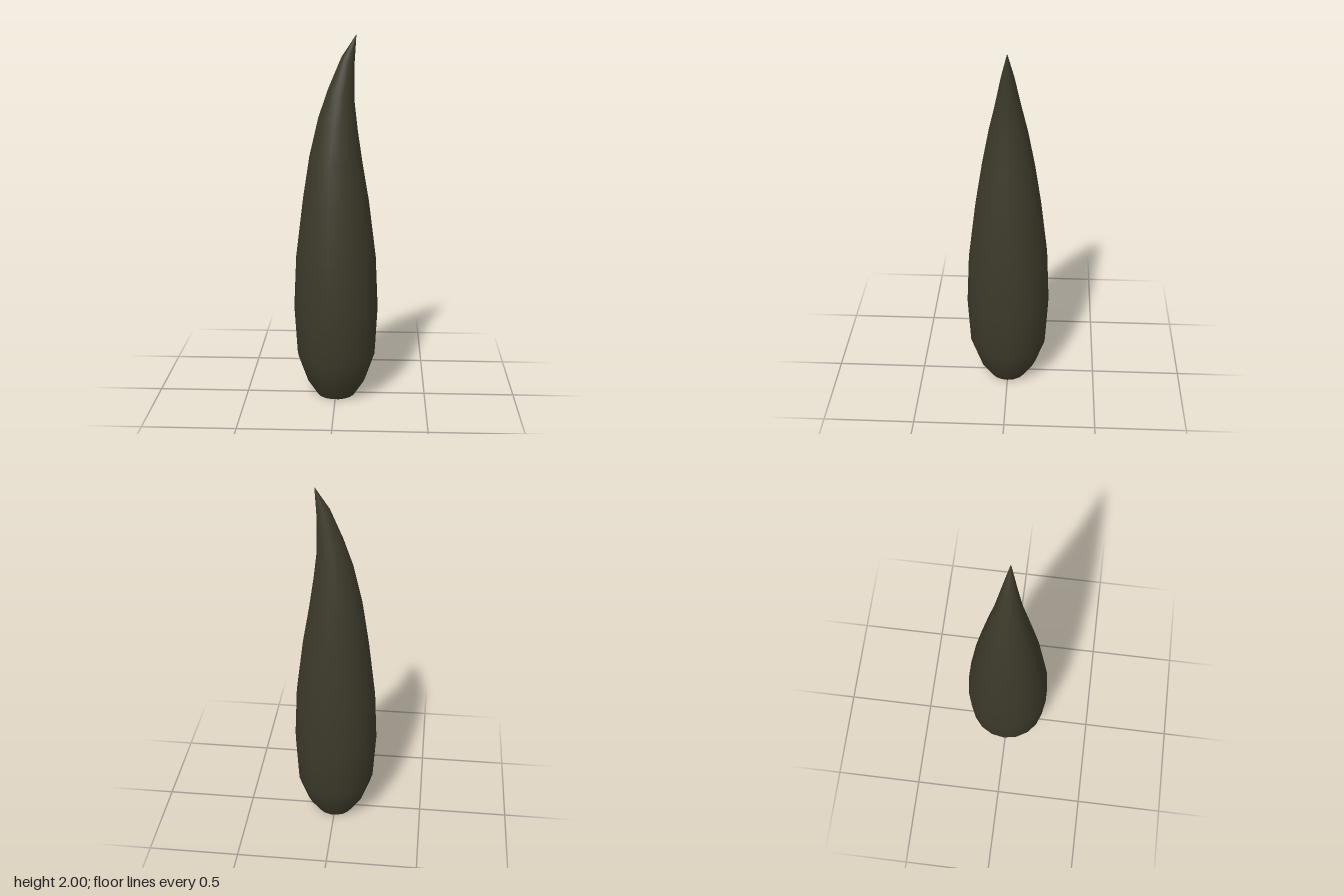
import * as THREE from 'three';
import { mergeVertices } from 'three/addons/utils/BufferGeometryUtils.js';

const SIDES = 18;

// Rings from base to tip: [height, radius, sideways shift, tilt slope]
const RINGS = [
  [0, 0.105, 0.002, 0],
  [0.09, 0.164, 0.002, 0],
  [0.237, 0.216, 0.001, 0],
  [0.51, 0.232, 0, 0],
  [0.8, 0.219, 0, 0],
  [1.12, 0.179, 0, -0.03],
  [1.34, 0.143, 0, -0.12],
  [1.535, 0.105, 0.011, -0.3],
  [1.685, 0.07, 0.029, -0.5],
  [1.86, 0.034, 0.063, -0.75],
  [2, 0.001, 0.106, 0],
];

export function createModel() {
  const group = new THREE.Group();
  group.name = 'curvedSpike';
  const material = new THREE.MeshStandardMaterial({ color: 0x3c392a });

  // Body: a lathed bulb whose upper rings lean and tilt toward +x
  const profile = RINGS.map(([y, r]) => new THREE.Vector2(r, y));
  const lathe = new THREE.LatheGeometry(profile, SIDES, Math.PI / 2);
  lathe.deleteAttribute('uv');
  lathe.deleteAttribute('normal');
  const pos = lathe.attributes.position;
  for (let i = 0; i < pos.count; i++) {
    const [y, , shift, slope] = RINGS[i % RINGS.length];
    const x = pos.getX(i);
    pos.setXYZ(i, x + shift, y + x * slope, pos.getZ(i));
  }
  const bodyGeometry = mergeVertices(lathe, 1e-5);
  bodyGeometry.computeVertexNormals();
  const body = new THREE.Mesh(bodyGeometry, material);
  body.name = 'body';
  group.add(body);

  // Flat underside
  const [, baseRadius, baseShift] = RINGS[0];
  const base = new THREE.Mesh(new THREE.CircleGeometry(baseRadius, SIDES), material);
  base.name = 'base';
  base.rotation.x = Math.PI / 2;
  base.position.x = baseShift;
  group.add(base);

  return group;
}
